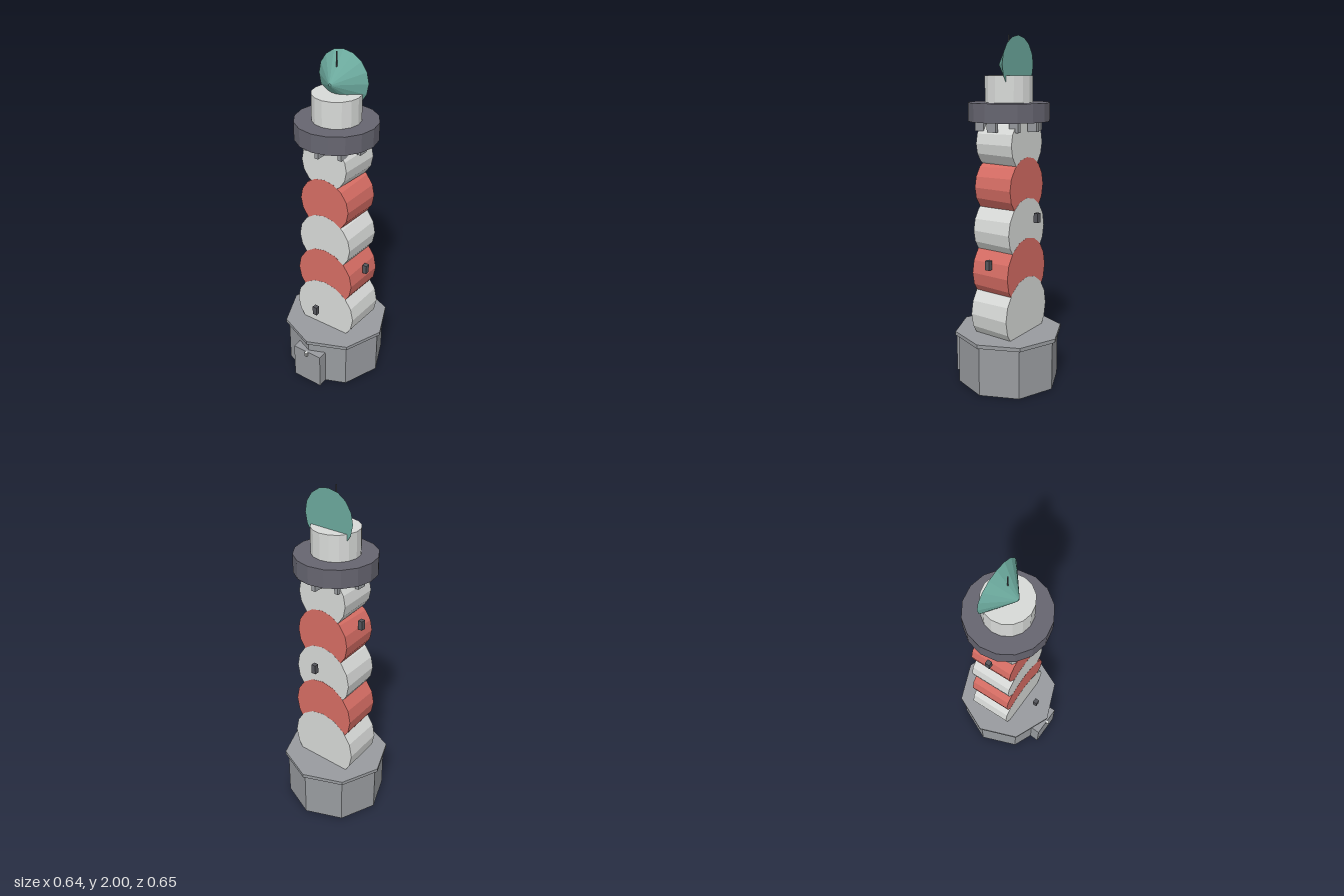
import * as THREE from 'three';

function makeMaterial(name, color) {
  const m = new THREE.MeshStandardMaterial({ color, flatShading: true });
  m.name = name;
  return m;
}

export function createModel() {
  const stone = makeMaterial('stone grey', 0x989b9f);
  const white = makeMaterial('off white', 0xd8dad8);
  const red = makeMaterial('faded red', 0xd66d64);
  const slate = makeMaterial('slate', 0x666570);
  const dark = makeMaterial('dark metal', 0x55565c);
  const teal = makeMaterial('copper green', 0x6caa9e);

  const model = new THREE.Group();
  model.name = 'lighthouse';
  const tower = new THREE.Group();
  tower.name = 'tower';
  tower.position.z = -0.01;
  model.add(tower);

  const add = (name, geometry, material, x, y, z) => {
    const mesh = new THREE.Mesh(geometry, material);
    mesh.name = name;
    mesh.position.set(x, y, z);
    tower.add(mesh);
    return mesh;
  };
  // upright cylinder from y0 to y1
  const drum = (name, rTop, rBottom, y0, y1, sides, material, x = 0, z = 0) =>
    add(name, new THREE.CylinderGeometry(rTop, rBottom, y1 - y0, sides), material, x, (y0 + y1) / 2, z);

  // octagonal base with its overhanging slab
  drum('base', 0.3, 0.3, 0, 0.29, 8, stone);
  drum('baseSlab', 0.318, 0.318, 0.29, 0.312, 8, stone);

  // door and knob
  add('door', new THREE.BoxGeometry(0.19, 0.23, 0.06), stone, 0, 0.115, 0.289);
  drum('doorKnob', 0.01, 0.01, 0.206, 0.231, 10, white, 0, 0.326);

  // stacked tapered drums lying along z, the lower one just in front
  const step = 0.2446;
  const radius = (i) => 0.214 - 0.014 * i;
  for (let i = 0; i < 5; i++) {
    const depth = step + 0.0012 * (4 - i);
    const g = new THREE.CylinderGeometry(radius(i + 1), radius(i), depth, 16);
    g.rotateX(Math.PI / 2);
    add('towerBand' + (i + 1), g, i % 2 ? red : white, 0, 0.312 + step * (i + 0.5), 0);
  }

  // windows spiralling up the tower
  const windowGeometry = new THREE.BoxGeometry(0.028, 0.054, 0.026);
  for (let i = 0; i < 4; i++) {
    const a = (i * Math.PI) / 2;
    const r = 0.218 - 0.014 * i;
    const w = add('window' + (i + 1), windowGeometry, dark, Math.sin(a) * r, 0.488 + 0.258 * i, Math.cos(a) * r);
    w.rotation.y = a;
  }

  // brackets under the gallery
  const bracketGeometry = new THREE.BoxGeometry(0.023, 0.055, 0.058);
  for (let i = 0; i < 8; i++) {
    const a = (i * Math.PI) / 4;
    add('bracket' + (i + 1), bracketGeometry, stone, Math.cos(a) * 0.16, 1.509, Math.sin(a) * 0.16);
  }

  // gallery and lantern room
  drum('gallery', 0.23, 0.23, 1.535, 1.638, 16, slate);
  drum('lanternRoom', 0.135, 0.135, 1.638, 1.784, 16, white);

  // roof cone tipped towards the front
  const roof = new THREE.CylinderGeometry(0.008, 0.155, 0.122, 16);
  roof.rotateX(Math.PI / 2);
  add('roof', roof, teal, 0, 1.842, 0);

  // spike on top
  drum('spike', 0.004, 0.004, 1.86, 2, 6, dark);

  return model;
}
